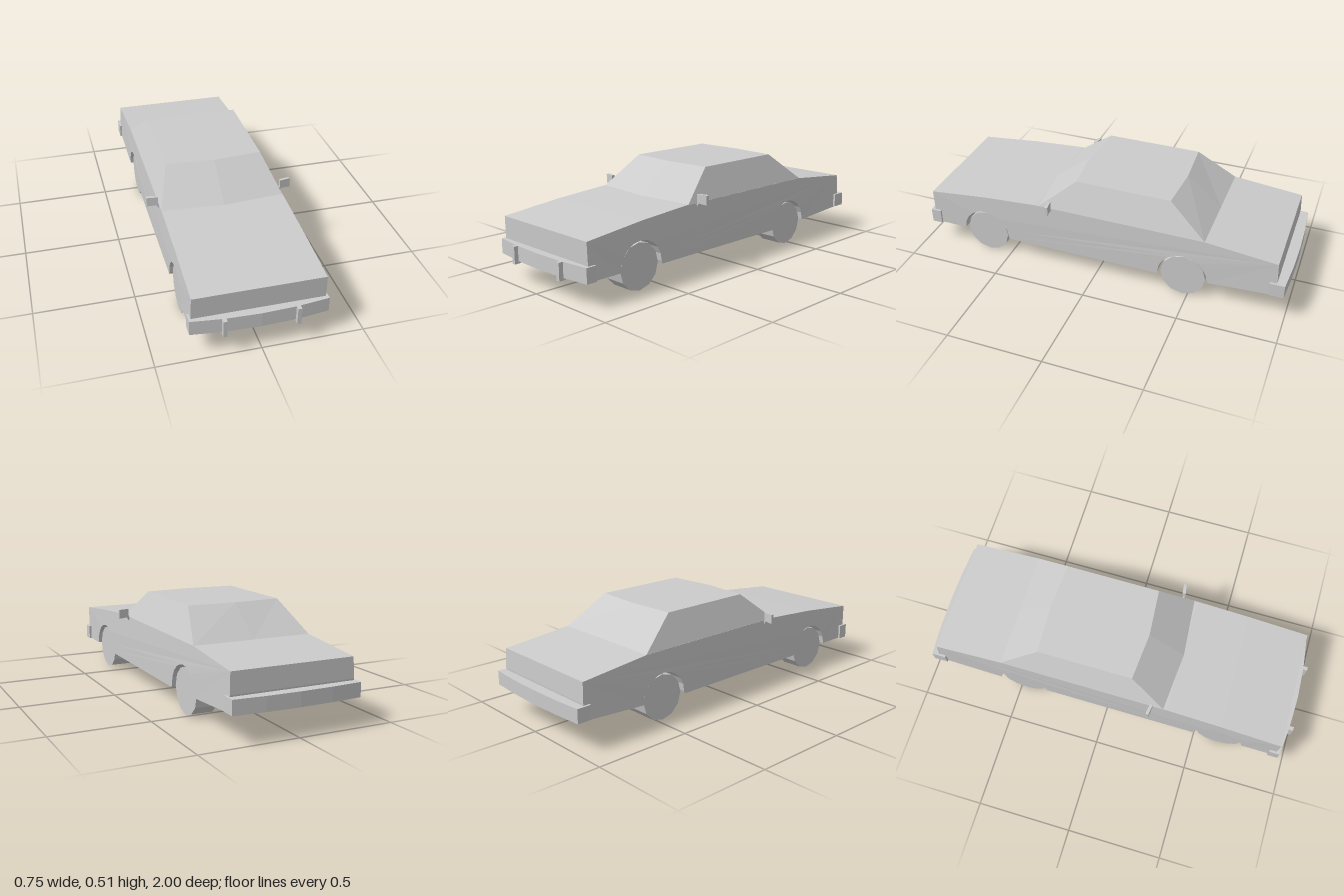
import * as THREE from 'three';

const material = new THREE.MeshStandardMaterial({ color: 0xcccccc, flatShading: true });
const WHEEL_R = 0.118, ARCH_R = 0.13;
const FRONT_AXLE = 0.63, REAR_AXLE = -0.47;

function part(name, geometry, parent) {
  const mesh = new THREE.Mesh(geometry, material);
  mesh.name = name;
  parent.add(mesh);
  return mesh;
}

const polygon = (points) => new THREE.Shape(points.map(([a, b]) => new THREE.Vector2(a, b)));

// Wheel opening as a polyline, running from front to rear
function arch(z) {
  return Array.from({ length: 11 }, (_, i) => {
    const a = (Math.PI * i) / 10;
    return [z + ARCH_R * Math.cos(a), WHEEL_R + ARCH_R * Math.sin(a)];
  });
}

// Side profile (z, y) extruded across the car, then leaned in towards the top
function lowerBodyGeometry() {
  const profile = [
    [0.94, 0.118], ...arch(FRONT_AXLE), [0.495, 0.105],
    [-0.335, 0.105], ...arch(REAR_AXLE), [-0.605, 0.117],
    [-0.94, 0.138], [-0.945, 0.22], [-0.94, 0.323],
    [-0.57, 0.36], [0.33, 0.36], [0.62, 0.34], [0.945, 0.306],
  ];
  const geo = new THREE.ExtrudeGeometry(polygon(profile), { depth: 2, bevelEnabled: false });
  geo.translate(0, 0, -1).rotateY(-Math.PI / 2);
  const p = geo.attributes.position;
  for (let i = 0; i < p.count; i++) {
    const lean = THREE.MathUtils.clamp((p.getY(i) - 0.22) / 0.14, 0, 1);
    p.setX(i, p.getX(i) * (0.322 - 0.006 * lean));
  }
  geo.computeVertexNormals();
  return geo;
}

// Glasshouse lofted between a base ring and a roof ring
function cabinGeometry() {
  const ring = (y, x, front, frontMid, rear, rearMid) => [
    [x, y, front], [x, y, rear], [0, y, rearMid],
    [-x, y, rear], [-x, y, front], [0, y, frontMid],
  ];
  const base = ring(0.358, 0.316, 0.315, 0.34, -0.575, -0.575);
  const roof = ring(0.513, 0.25, 0.125, 0.145, -0.375, -0.39);
  const out = [];
  for (let i = 0; i < 6; i++) {
    const j = (i + 1) % 6;
    out.push(...base[i], ...base[j], ...roof[j], ...base[i], ...roof[j], ...roof[i]);
    if (i > 0 && i < 5) out.push(...roof[0], ...roof[i], ...roof[j]);
  }
  const geo = new THREE.BufferGeometry();
  geo.setAttribute('position', new THREE.Float32BufferAttribute(out, 3));
  geo.computeVertexNormals();
  return geo;
}

// Bowed bumper: plan outline (x, distance from the centre) raised to a height
function bumperGeometry(inner, edge, middle, y0, y1) {
  const plan = polygon([
    [-0.332, inner], [0.332, inner], [0.332, edge], [0.17, edge + (middle - edge) * 0.75],
    [0, middle], [-0.17, edge + (middle - edge) * 0.75], [-0.332, edge],
  ]);
  const geo = new THREE.ExtrudeGeometry(plan, { depth: y1 - y0, bevelEnabled: false });
  return geo.rotateX(Math.PI / 2).translate(0, y1, 0);
}

// Door mirror head with a thin tapering stalk
function doorMirror(side) {
  const mirror = new THREE.Group();
  mirror.name = side > 0 ? 'leftMirror' : 'rightMirror';
  const head = polygon([[0.321, 0.36], [0.377, 0.356], [0.377, 0.404], [0.366, 0.406], [0.321, 0.405]]);
  const stalk = polygon([[0.314, 0.35], [0.319, 0.341], [0.33, 0.36], [0.321, 0.372]]);
  [['mirrorHead', head, 0.016], ['mirrorStalk', stalk, 0.01]].forEach(([name, shape, depth]) => {
    const geo = new THREE.ExtrudeGeometry(shape, { depth, bevelEnabled: false });
    geo.translate(0, 0, -depth / 2);
    if (side < 0) geo.rotateY(Math.PI);
    // Outer end swept slightly rearward or forward to match the other side
    const p = geo.attributes.position;
    for (let i = 0; i < p.count; i++) {
      p.setZ(i, p.getZ(i) + 0.25 - (Math.abs(p.getX(i)) - 0.32) * 0.15);
    }
    geo.computeVertexNormals();
    part(name, geo, mirror);
  });
  return mirror;
}

export function createModel() {
  const car = new THREE.Group();
  car.name = 'car';

  part('lowerBody', lowerBodyGeometry(), car);
  part('cabin', cabinGeometry(), car);

  // Bumpers
  part('frontBumper', bumperGeometry(0.905, 0.96, 0.985, 0.117, 0.193), car);
  part('rearBumper', bumperGeometry(0.91, 0.985, 1, 0.14, 0.212).rotateY(Math.PI), car);

  // Wheels, mirrors and bumper guards on both sides
  for (const side of [1, -1]) {
    const label = side > 0 ? 'Left' : 'Right';
    for (const [end, z] of [['front', FRONT_AXLE], ['rear', REAR_AXLE]]) {
      const tyre = new THREE.CylinderGeometry(WHEEL_R, WHEEL_R, 0.114, 12).rotateZ(Math.PI / 2);
      part(`${end}${label}Wheel`, tyre, car).position.set(side * 0.25, WHEEL_R, z);
    }
    part(`bumperGuard${label}`, new THREE.BoxGeometry(0.02, 0.088, 0.035), car)
      .position.set(side * 0.175, 0.149, 0.9825);
    car.add(doorMirror(side));
  }
  return car;
}
